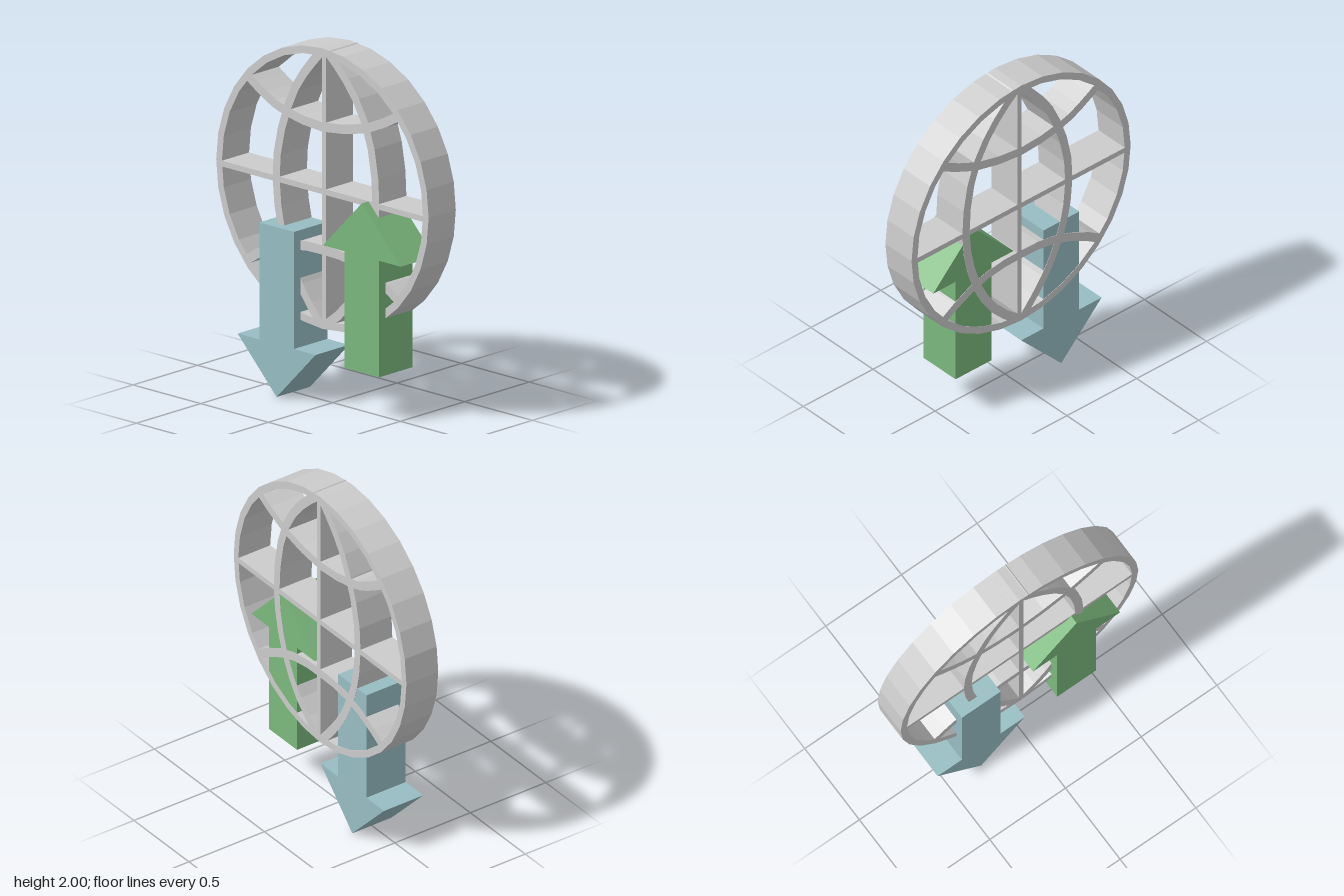
import * as THREE from 'three';

const GREY = new THREE.MeshStandardMaterial({ color: 0xcccccc, flatShading: true });
const BLUE = new THREE.MeshStandardMaterial({ color: 0x97bdc3, flatShading: true });
const GREEN = new THREE.MeshStandardMaterial({ color: 0x7bb87d, flatShading: true });

const CENTRE_Y = 1.215, RADIUS = 0.785, RIM = 0.042;
const BACK = -0.131, GLOBE_FRONT = 0.08, ARROW_FRONT = 0.131;

const vec = ([x, y]) => new THREE.Vector2(x, y);

function slab(name, shape, back, front, material) {
  const geometry = new THREE.ExtrudeGeometry(shape, { depth: front - back, bevelEnabled: false });
  geometry.translate(0, 0, back);
  const mesh = new THREE.Mesh(geometry, material);
  mesh.name = name;
  return mesh;
}

function circlePoints(radius, sides) {
  return Array.from({ length: sides }, (_, i) => {
    const a = (i / sides) * Math.PI * 2;
    return new THREE.Vector2(radius * Math.cos(a), CENTRE_Y + radius * Math.sin(a));
  });
}

// Band of constant width along a smooth centre line
function band(name, points, width, segments) {
  const curve = new THREE.SplineCurve(points.map(vec));
  const left = [], right = [];
  for (let i = 0; i <= segments; i++) {
    const p = curve.getPoint(i / segments);
    const t = curve.getTangent(i / segments);
    const n = new THREE.Vector2(-t.y, t.x).multiplyScalar(width / 2);
    left.push(p.clone().add(n));
    right.push(p.clone().sub(n));
  }
  return slab(name, new THREE.Shape([...left, ...right.reverse()]), BACK, GLOBE_FRONT, GREY);
}

// Block arrow; tip and tail heights decide which way it points
function arrow(name, x, tipY, neckY, tailY, material) {
  const shaft = 0.128, head = 0.288;
  const outline = [
    [x, tipY], [x - head, neckY], [x - shaft, neckY], [x - shaft, tailY],
    [x + shaft, tailY], [x + shaft, neckY], [x + head, neckY],
  ];
  return slab(name, new THREE.Shape(outline.map(vec)), BACK + 0.002, ARROW_FRONT, material);
}

export function createModel() {
  const model = new THREE.Group();
  model.name = 'globeWithArrows';

  // Globe frame
  const globe = new THREE.Group();
  globe.name = 'globe';
  const ring = new THREE.Shape(circlePoints(RADIUS, 32));
  ring.holes.push(new THREE.Path(circlePoints(RADIUS - RIM, 32).reverse()));
  globe.add(slab('rim', ring, BACK, GLOBE_FRONT, GREY));

  // Straight axis and equator
  const reach = RADIUS - RIM / 2;
  globe.add(band('axis', [[0.012, CENTRE_Y - reach], [0.012, CENTRE_Y + reach]], 0.028, 1));
  globe.add(band('equator', [[-reach, 1.2], [reach, 1.2]], 0.032, 1));

  // Curved meridians
  globe.add(band('rightMeridian', [
    [-0.01, 1.98], [-0.1, 1.88], [-0.19, 1.76], [-0.265, 1.6], [-0.325, 1.4], [-0.342, 1.2],
    [-0.32, 1.0], [-0.275, 0.85], [-0.21, 0.71], [-0.13, 0.59], [-0.02, 0.46],
  ], 0.052, 14));
  globe.add(band('leftMeridian', [
    [0.04, 1.98], [0.13, 1.9], [0.235, 1.78], [0.325, 1.62], [0.378, 1.42], [0.395, 1.2],
    [0.375, 1.02], [0.325, 0.84], [0.245, 0.68], [0.15, 0.56], [0.03, 0.46],
  ], 0.052, 14));

  // Curved parallels
  globe.add(band('upperParallel', [
    [-0.56, 1.735], [-0.42, 1.65], [-0.27, 1.592], [0, 1.56], [0.32, 1.618], [0.56, 1.735],
  ], 0.052, 10));
  globe.add(band('lowerParallel', [
    [-0.565, 0.7], [-0.4, 0.795], [-0.2, 0.86], [0, 0.872], [0.2, 0.86], [0.39, 0.8], [0.56, 0.7],
  ], 0.052, 10));
  model.add(globe);

  // Arrows standing proud of the globe
  model.add(arrow('downArrow', -0.29, 0, 0.295, 0.95, BLUE));
  model.add(arrow('upArrow', 0.34, 1.215, 0.92, 0.268, GREEN));
  return model;
}
